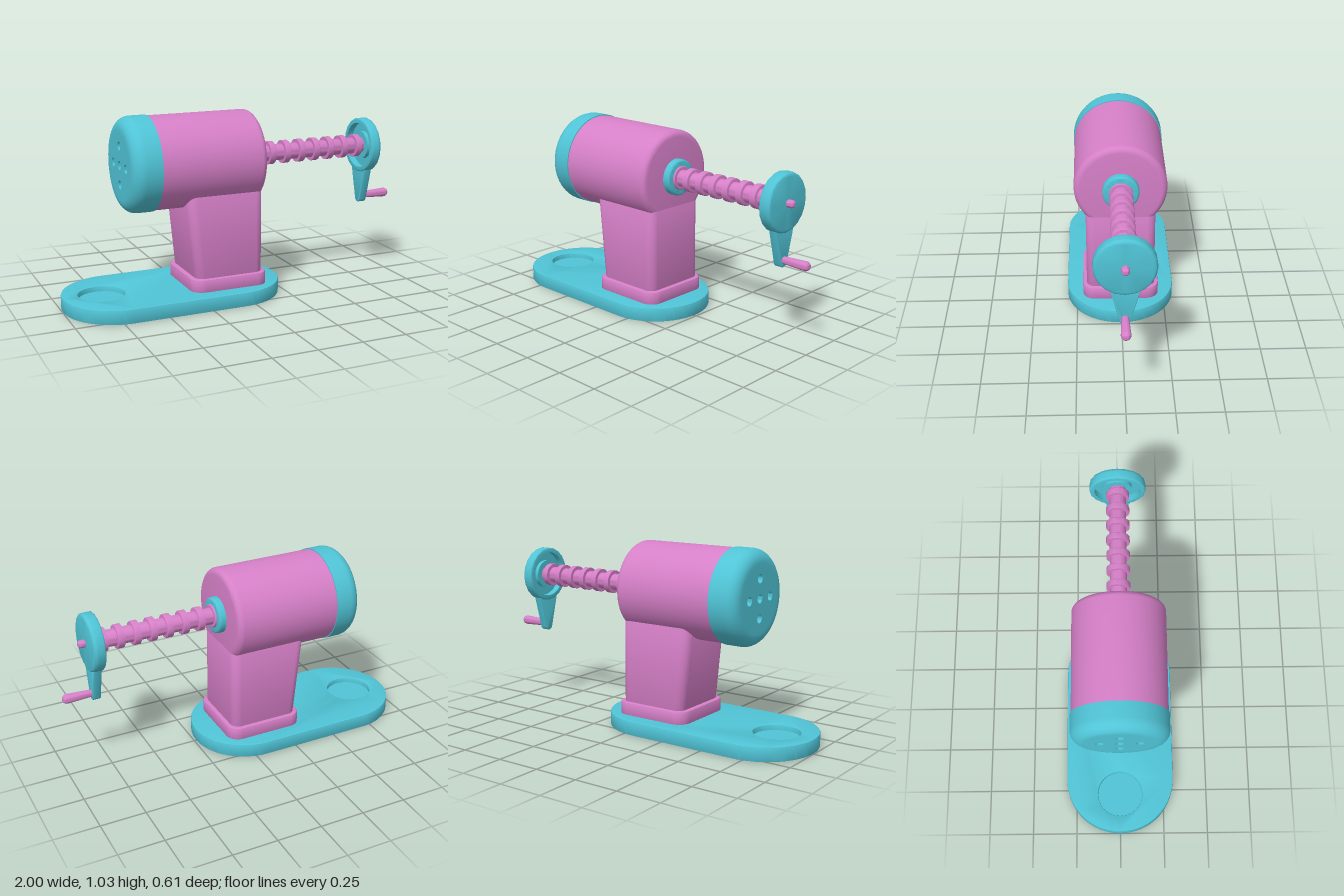
import * as THREE from 'three';
import { toCreasedNormals } from 'three/addons/utils/BufferGeometryUtils.js';

const teal = new THREE.MeshStandardMaterial({ color: 0x50c4d6 });
const pink = new THREE.MeshStandardMaterial({ color: 0xd680c8 });
const AXIS_Y = 0.775;

export function createModel() {
  const model = new THREE.Group();

  const add = (name, geometry, material, x = 0, y = 0, z = 0) => {
    const mesh = new THREE.Mesh(toCreasedNormals(geometry, 0.6), material);
    mesh.name = name;
    mesh.position.set(x, y, z);
    model.add(mesh);
    return mesh;
  };

  // Quarter-round corner between angles a0 and a1, as [radius, x] points
  const corner = (r, x, size, a0, a1, n = 6) =>
    Array.from({ length: n + 1 }, (_, i) => {
      const a = a0 + ((a1 - a0) * i) / n;
      return [r + size * Math.cos(a), x + size * Math.sin(a)];
    });

  // Solid of revolution about the x axis from [radius, x] points
  const turned = (points, sides = 48) =>
    new THREE.LatheGeometry(points.map(([r, x]) => new THREE.Vector2(r, x)), sides).rotateZ(-Math.PI / 2);

  // Plain disc between x0 and x1 with a rounded outer rim at x1
  const disc = (r, x0, x1, round, sides = 48) =>
    turned([[0, x0], [r, x0], ...corner(r - round, x1 - round, round, 0, Math.PI / 2), [0, x1]], sides);

  const roundedRect = (x0, x1, halfZ, r) => {
    const s = new THREE.Shape();
    s.absarc(x1 - r, halfZ - r, r, 0, Math.PI / 2);
    s.absarc(x0 + r, halfZ - r, r, Math.PI / 2, Math.PI);
    s.absarc(x0 + r, r - halfZ, r, Math.PI, Math.PI * 1.5);
    s.absarc(x1 - r, r - halfZ, r, Math.PI * 1.5, Math.PI * 2);
    s.closePath();
    return s;
  };

  // Upright extrusion of a floor plan, with a small bevel kept inside the outline
  const upright = (shape, y0, y1, bevel) =>
    new THREE.ExtrudeGeometry(shape, {
      depth: y1 - y0 - 2 * bevel, curveSegments: 16,
      bevelThickness: bevel, bevelSize: bevel, bevelOffset: -bevel, bevelSegments: 2,
    }).rotateX(-Math.PI / 2).translate(0, y0 + bevel, 0);

  // Base plate with a round recess
  const plate = roundedRect(-1, 0.24, 0.305, 0.304);
  plate.holes.push(new THREE.Path().absarc(-0.785, 0, 0.127, 0, Math.PI * 2, true));
  add('basePlate', upright(plate, 0, 0.08, 0.006), teal);
  add('recessFloor', new THREE.CylinderGeometry(0.14, 0.14, 0.05, 48), teal, -0.785, 0.025, 0);

  // Plinth and column; the column's rear face leans outward toward the top
  add('plinth', upright(roundedRect(-0.33, 0.115, 0.215, 0.07), 0.07, 0.15, 0.008), pink);
  const column = upright(roundedRect(-0.303, 0.091, 0.193, 0.05), 0.14, 0.615, 0.012);
  const p = column.attributes.position;
  for (let i = 0; i < p.count; i++) {
    if (p.getX(i) < -0.1) p.setX(i, p.getX(i) - (0.047 * (p.getY(i) - 0.14)) / 0.475);
  }
  column.computeVertexNormals();
  add('column', column, pink);

  // Main housing
  add('housing', disc(0.255, -0.61, 0.09, 0.035, 64), pink, 0, AXIS_Y, 0);

  // End cap shell, closed by a plate with five vent holes
  add('endCap', turned([
    [0.17, -0.635], [0.17, -0.665],
    ...corner(0.19, -0.595, 0.07, -Math.PI / 2, 0, 8),
    [0.26, -0.51], [0.25, -0.51],
  ], 64), teal, 0, AXIS_Y, 0);
  const vents = new THREE.Shape().absarc(0, 0, 0.171, 0, Math.PI * 2);
  const ventCentres = [[0, 0]];
  for (let i = 0; i < 4; i++) {
    ventCentres.push([0.105 * Math.cos((i * Math.PI) / 2), 0.105 * Math.sin((i * Math.PI) / 2)]);
  }
  for (const [u, v] of ventCentres) {
    vents.holes.push(new THREE.Path().absarc(u, v, 0.024, 0, Math.PI * 2, true));
  }
  add('ventPlate', new THREE.ExtrudeGeometry(vents, { depth: 0.04, bevelEnabled: false, curveSegments: 24 })
    .rotateY(-Math.PI / 2), teal, -0.625, AXIS_Y, 0);

  // Shaft with collar and evenly spaced rings
  add('shaftCollar', disc(0.1, 0.08, 0.13, 0.012), teal, 0, AXIS_Y, 0);
  add('shaft', disc(0.046, 0.08, 0.84, 0.005, 32), pink, 0, AXIS_Y, 0);
  for (let i = 0; i < 8; i++) {
    const x = 0.122 + i * 0.0918;
    add('shaftRing', disc(0.065, x - 0.018, x + 0.018, 0.004, 32), pink, 0, AXIS_Y, 0);
  }

  // Cupped crank wheel, hollow on the side facing the housing
  add('crankWheel', turned([
    [0, 0.828], [0.13, 0.828], [0.13, 0.79],
    ...corner(0.15, 0.798, 0.008, -Math.PI / 2, 0, 3),
    ...corner(0.138, 0.835, 0.02, 0, Math.PI / 2),
    [0, 0.855],
  ], 20), teal, 0, AXIS_Y, 0);
  add('wheelHub', disc(0.08, 0.805, 0.835, 0.005), teal, 0, AXIS_Y, 0);

  // Domed centre pin
  const domedPin = (r0, r1, x0, x1) =>
    turned([[0, x0], [r0, x0], ...corner(0, x1 - r1, r1, 0, Math.PI / 2, 8)], 24);
  add('centrePin', domedPin(0.021, 0.021, 0.845, 0.895), pink, 0, AXIS_Y, 0);

  // Tapered crank arm, drawn as (z, y) and extruded along x
  const arm = new THREE.Shape();
  arm.moveTo(0.074, 0.637);
  arm.lineTo(-0.074, 0.637);
  arm.lineTo(-0.026, 0.455);
  arm.absarc(0, 0.461, 0.027, Math.PI * 1.07, Math.PI * 1.93);
  arm.closePath();
  add('crankArm', new THREE.ExtrudeGeometry(arm, {
    depth: 0.037, curveSegments: 16, bevelThickness: 0.004, bevelSize: 0.004, bevelOffset: -0.004, bevelSegments: 2,
  }).rotateY(Math.PI / 2), teal, 0.799, 0, 0);

  // Handle grip
  add('crankGrip', domedPin(0.019, 0.026, 0.83, 1.0), pink, 0, 0.474, 0);

  return model;
}
